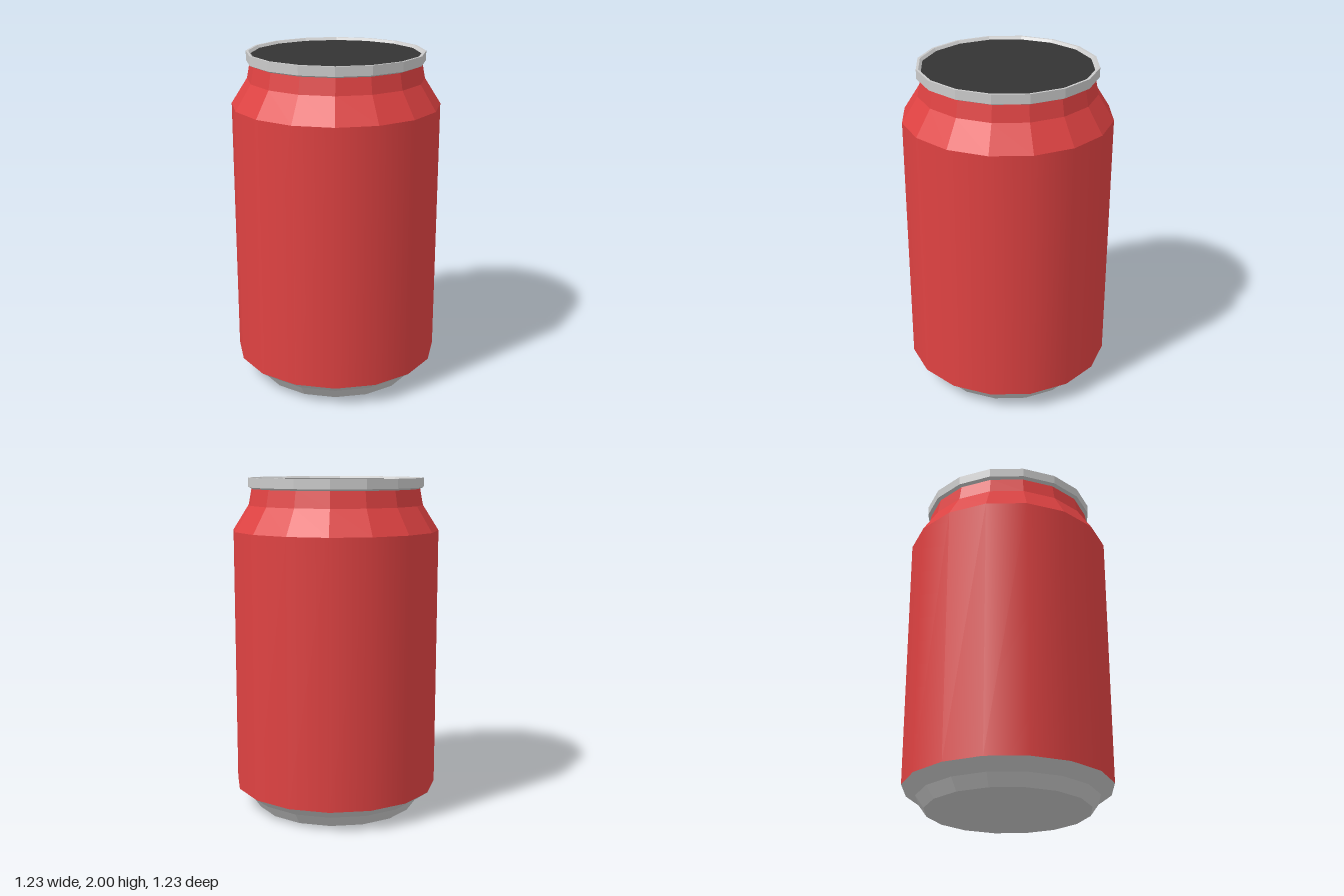
import * as THREE from 'three';

const SIDES = 16;

export function createModel() {
  const can = new THREE.Group();
  can.name = 'drinkCan';

  const material = (name, color) => {
    const m = new THREE.MeshStandardMaterial({ color });
    m.name = name;
    return m;
  };
  const red = material('red paint', 0xdf4242);
  const metal = material('bare metal', 0xcacaca);
  const dark = material('dark lid', 0x343434);

  const add = (name, geometry, mat) => {
    const mesh = new THREE.Mesh(geometry, mat);
    mesh.name = name;
    can.add(mesh);
    return mesh;
  };

  // Faceted ring turned from a profile of [radius, height], listed bottom to top
  const facetedRing = (profile) => {
    const points = profile.map(([r, y]) => new THREE.Vector2(r, y));
    const geometry = new THREE.LatheGeometry(points, SIDES).toNonIndexed();
    geometry.computeVertexNormals();
    return geometry;
  };

  // Flat disc facing up (+1) or down (-1)
  const disc = (radius, y, facing) =>
    new THREE.CircleGeometry(radius, SIDES).rotateX(-facing * Math.PI / 2).translate(0, y, 0);

  // Smooth painted wall
  const wall = new THREE.CylinderGeometry(0.617, 0.617, 1.56, SIDES, 1, true);
  add('body', wall.translate(0, 0.91, 0), red);

  // Tapered shoulder and neck
  add('neck', facetedRing([[0.617, 1.69], [0.522, 1.84], [0.503, 1.94]]), red);

  // Metal base: stepped taper and flat underside
  add('baseTaper', facetedRing([[0.485, 0], [0.535, 0.07], [0.617, 0.13]]), metal);
  add('underside', disc(0.485, 0, -1), metal);

  // Rolled rim with a sloping inner lip around the lid
  add('rim', facetedRing([
    [0.503, 1.935], [0.525, 1.945], [0.525, 2], [0.511, 2], [0.497, 1.985],
  ]), metal);
  add('lid', disc(0.497, 1.985, 1), dark);

  return can;
}
